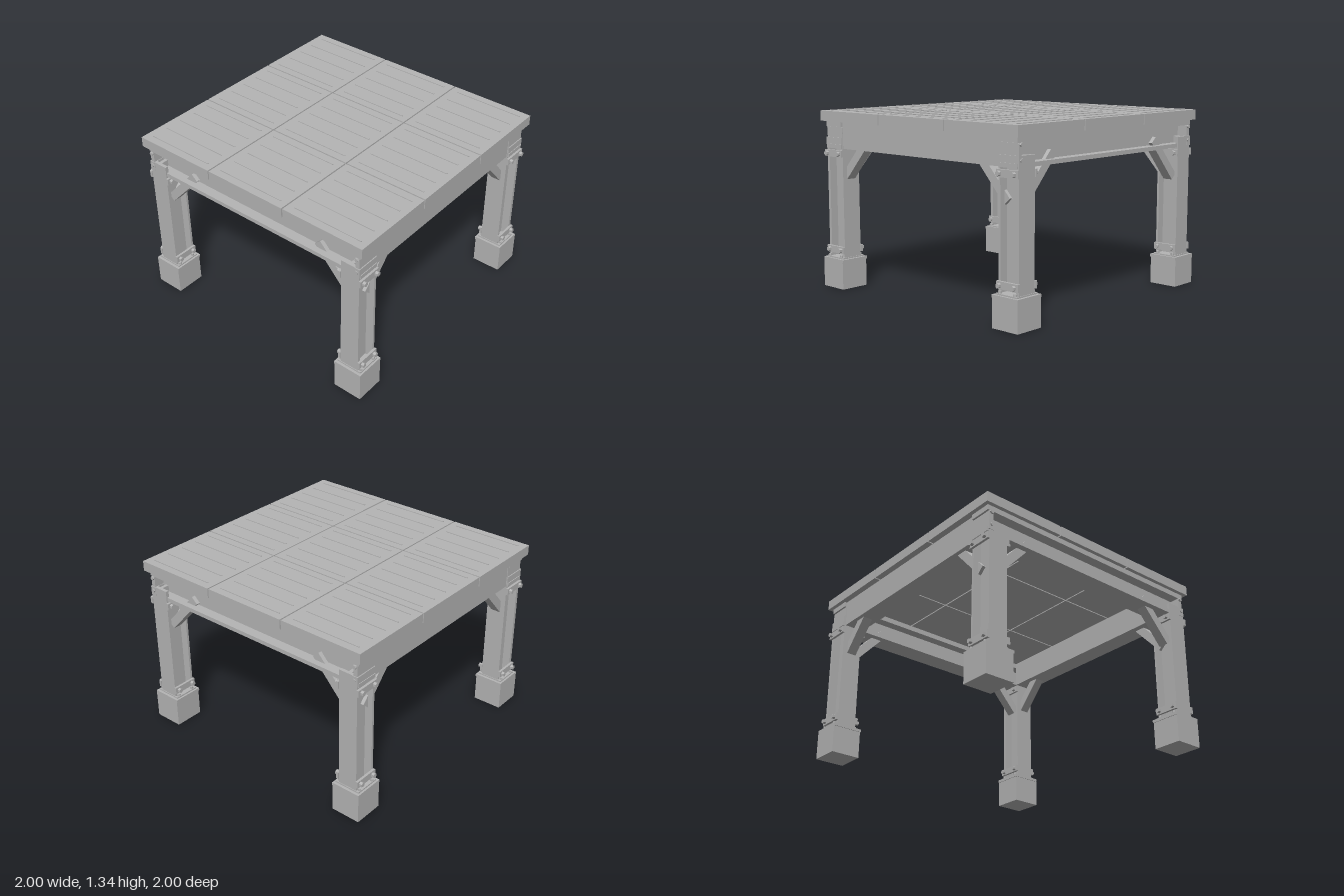
import * as THREE from 'three';

const grey = new THREE.MeshStandardMaterial({ color: 0xb4b4b4 });
grey.name = 'steel grey';

function add(parent, name, geometry) {
  const mesh = new THREE.Mesh(geometry, grey);
  mesh.name = name;
  parent.add(mesh);
  return mesh;
}

// Box given by its extents on each axis
function box(parent, name, [x0, x1], [y0, y1], [z0, z1]) {
  const mesh = add(parent, name, new THREE.BoxGeometry(x1 - x0, y1 - y0, z1 - z0));
  mesh.position.set((x0 + x1) / 2, (y0 + y1) / 2, (z0 + z1) / 2);
  return mesh;
}

// Hexagonal bolt lying along the chosen axis
function bolt(parent, axis, x, y, z, length = 0.03, radius = 0.018) {
  const geo = new THREE.CylinderGeometry(radius, radius, length, 6).toNonIndexed();
  geo.computeVertexNormals();
  const mesh = add(parent, 'bolt', geo);
  if (axis === 'x') mesh.rotation.z = Math.PI / 2;
  if (axis === 'z') mesh.rotation.x = Math.PI / 2;
  mesh.position.set(x, y, z);
}

// One corner post; sx and sz choose the corner
function createPost(sx, sz) {
  const post = new THREE.Group();
  post.name = 'cornerPost';
  const part = (name, xs, ys, zs) => {
    const order = (r, s) => (s > 0 ? r : [-r[1], -r[0]]);
    return box(post, name, order(xs, sx), ys, order(zs, sz));
  };
  const addBolt = (axis, x, y, z, l, r) => bolt(post, axis, sx * x, y, sz * z, l, r);

  // Footing and base plate
  part('footing', [0.775, 1], [0, 0.205], [0.775, 1]);
  part('footingCap', [0.77, 1], [0.205, 0.226], [0.77, 1]);
  part('basePlate', [0.79, 0.98], [0.226, 0.236], [0.785, 0.985]);
  for (const x of [0.82, 0.955])
    for (const z of [0.8, 0.972]) addBolt('y', x, 0.24, z, 0.025, 0.013);

  // H-section column
  part('columnFlange', [0.795, 0.812], [0.226, 1.14], [0.81, 0.96]);
  part('columnFlange', [0.95, 0.975], [0.226, 1.14], [0.81, 0.96]);
  part('columnWeb', [0.812, 0.95], [0.226, 1.14], [0.872, 0.898]);

  // Bolted clamp plates on the front and back of the column
  for (const y of [0.29, 1.02]) {
    for (const [z0, z1, zb] of [[0.96, 0.978, 0.985], [0.792, 0.81, 0.785]]) {
      part('clampPlate', [0.79, 0.982], [y - 0.025, y + 0.027], [z0, z1]);
      for (const x of [0.82, 0.95]) addBolt('z', x, y, zb);
    }
  }

  // Head bracket joining the column to the beams
  part('headBracket', [0.797, 0.972], [1.06, 1.22], [0.925, 0.958]);
  part('headBracketLip', [0.8, 0.978], [1.07, 1.14], [0.92, 0.965]);
  for (const y of [1.11, 1.21]) addBolt('x', 0.972, y, 0.94, 0.025, 0.014);

  // Diagonal braces along both directions
  const angle = Math.atan2(0.295, 0.27);
  const braceX = add(post, 'braceAlongFront', new THREE.BoxGeometry(0.36, 0.064, 0.075));
  braceX.rotation.z = -sx * angle;
  braceX.position.set(sx * 0.715, 0.965, sz * 0.885);
  const braceZ = add(post, 'braceAlongSide', new THREE.BoxGeometry(0.075, 0.064, 0.4));
  braceZ.rotation.x = sz * angle;
  braceZ.position.set(sx * 0.885, 0.9825, sz * 0.705);
  return post;
}

export function createModel() {
  const model = new THREE.Group();
  model.name = 'platform';

  // Nine deck panels with narrow raised ribs
  const deck = new THREE.Group();
  deck.name = 'deck';
  model.add(deck);
  for (const i of [-1, 0, 1]) {
    for (const j of [-1, 0, 1]) {
      const cx = i * 0.67, cz = j * 0.67;
      box(deck, 'deckPanel', [cx - 0.33, cx + 0.33], [1.262, 1.338], [cz - 0.33, cz + 0.33]);
      for (let k = -2; k <= 2; k++) {
        const x = cx + k * 0.134;
        box(deck, 'deckRib', [x - 0.004, x + 0.004], [1.336, 1.343], [cz - 0.275, cz + 0.275]);
      }
    }
  }

  for (const s of [-1, 1]) {
    const span = (a, b) => (s > 0 ? [a, b] : [-b, -a]);
    // Deep front and back beams
    box(model, 'crossBeam', [-0.8, 0.8], [1.06, 1.262], span(0.8, 0.953));
    box(model, 'crossBeamCap', [-0.97, 0.97], [1.222, 1.262], span(0.8, 0.953));
    // I-section side beams
    box(model, 'sideBeamTopFlange', span(0.8, 0.97), [1.222, 1.262], [-0.97, 0.97]);
    box(model, 'sideBeamWeb', span(0.877, 0.893), [1.09, 1.222], [-0.925, 0.925]);
    box(model, 'sideBeamBottomFlange', span(0.8, 0.967), [1.06, 1.09], [-0.97, 0.97]);
    for (const t of [-1, 1]) model.add(createPost(s, t));
  }
  return model;
}
